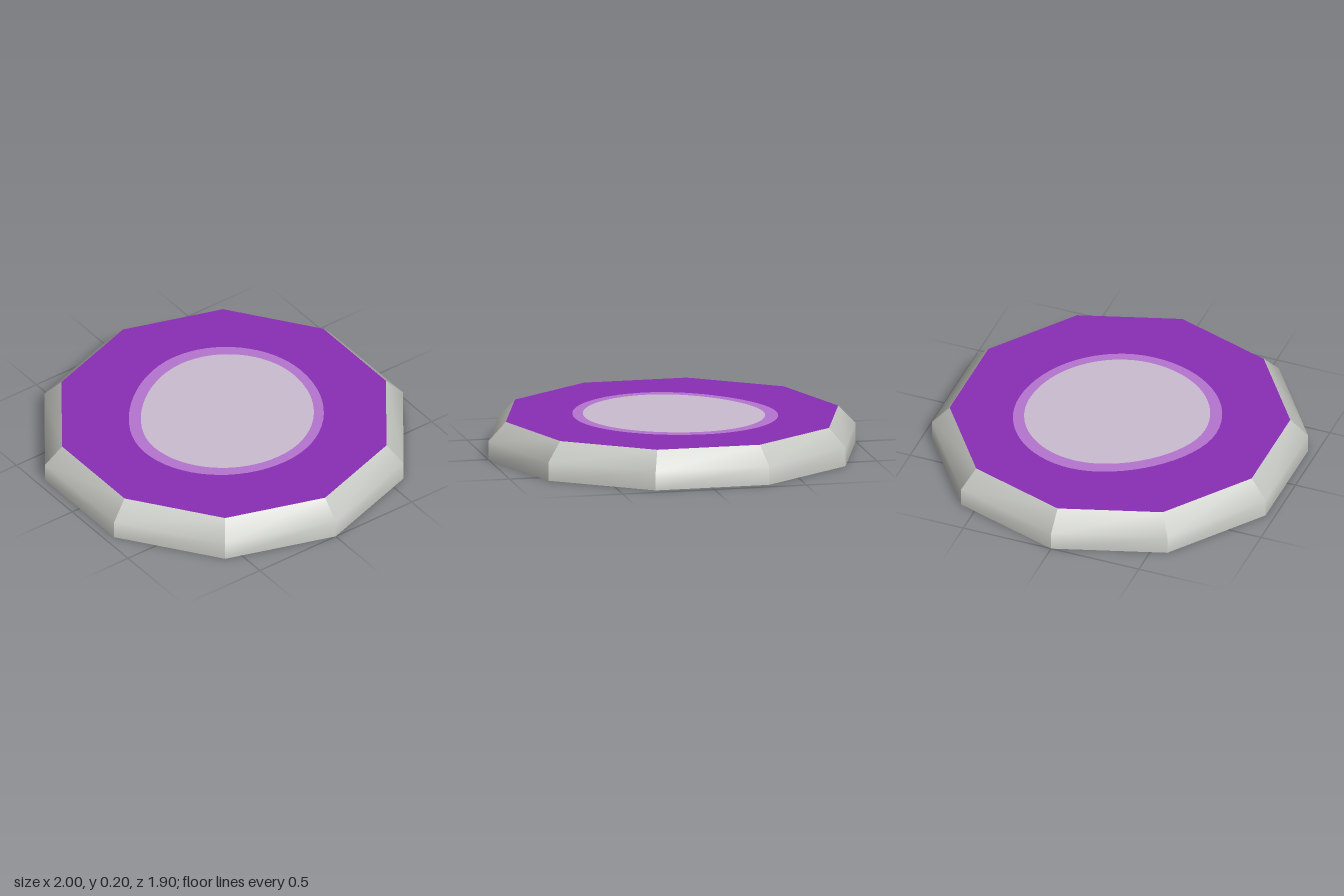
import * as THREE from 'three';

const SIDES = 10;
const grey = new THREE.MeshStandardMaterial({ name: 'rim grey', color: 0xc8cac4 });
const purple = new THREE.MeshStandardMaterial({ name: 'deep purple', color: 0x892eb5 });
const lilac = new THREE.MeshStandardMaterial({ name: 'lilac', color: 0xb574d0 });
const pale = new THREE.MeshStandardMaterial({ name: 'pale mauve', color: 0xcabcd1 });

// Rim: each side is its own strip, smooth from wall to bevel but sharp at the corners
function rimGeometry() {
  const profile = [[1, 0], [1, 0.1], [0.905, 0.2]];
  const positions = [], index = [];
  for (let s = 0; s < SIDES; s++) {
    const base = positions.length / 3;
    for (const [r, y] of profile) {
      for (const k of [s, s + 1]) {
        const a = (k / SIDES) * Math.PI * 2;
        positions.push(r * Math.cos(a), y, r * Math.sin(a));
      }
    }
    for (let i = 0; i < profile.length - 1; i++) {
      const p = base + i * 2;
      index.push(p, p + 2, p + 1, p + 1, p + 2, p + 3);
    }
  }
  const geometry = new THREE.BufferGeometry();
  geometry.setAttribute('position', new THREE.Float32BufferAttribute(positions, 3));
  geometry.setIndex(index);
  geometry.computeVertexNormals();
  return geometry;
}

// Uneven oval through its four extreme points, y pointing to the back
function ovalGeometry([rx, ry], [tx, ty], [lx, ly], [bx, by]) {
  const k = 0.55, flat = 0.47; // the front-left quarter is flatter
  const shape = new THREE.Shape();
  shape.moveTo(rx, ry);
  shape.bezierCurveTo(rx, ry + k * (ty - ry), tx + k * (rx - tx), ty, tx, ty);
  shape.bezierCurveTo(tx + k * (lx - tx), ty, lx, ly + k * (ty - ly), lx, ly);
  shape.bezierCurveTo(lx, ly + flat * (by - ly), bx + flat * (lx - bx), by, bx, by);
  shape.bezierCurveTo(bx + k * (rx - bx), by, rx, ry + k * (by - ry), rx, ry);
  return new THREE.ShapeGeometry(shape, 16);
}

export function createModel() {
  const group = new THREE.Group();
  group.name = 'decagonal plate';
  const add = (name, geometry, material, y = 0) => {
    const mesh = new THREE.Mesh(geometry, material);
    mesh.name = name;
    mesh.position.y = y;
    group.add(mesh);
  };

  add('rim', rimGeometry(), grey);
  add('underside', new THREE.CircleGeometry(1, SIDES).rotateX(Math.PI / 2), grey);
  add('topFace', new THREE.CircleGeometry(0.905, SIDES).rotateX(-Math.PI / 2), purple, 0.2);

  // Painted oval with a lighter border
  const border = ovalGeometry([0.53, 0.01], [-0.06, 0.55], [-0.55, 0.07], [0.02, -0.54]);
  const centre = ovalGeometry([0.475, 0.01], [-0.05, 0.495], [-0.48, 0.07], [0.02, -0.475]);
  add('ovalBorder', border.rotateX(-Math.PI / 2), lilac, 0.202);
  add('ovalCentre', centre.rotateX(-Math.PI / 2), pale, 0.204);
  return group;
}
